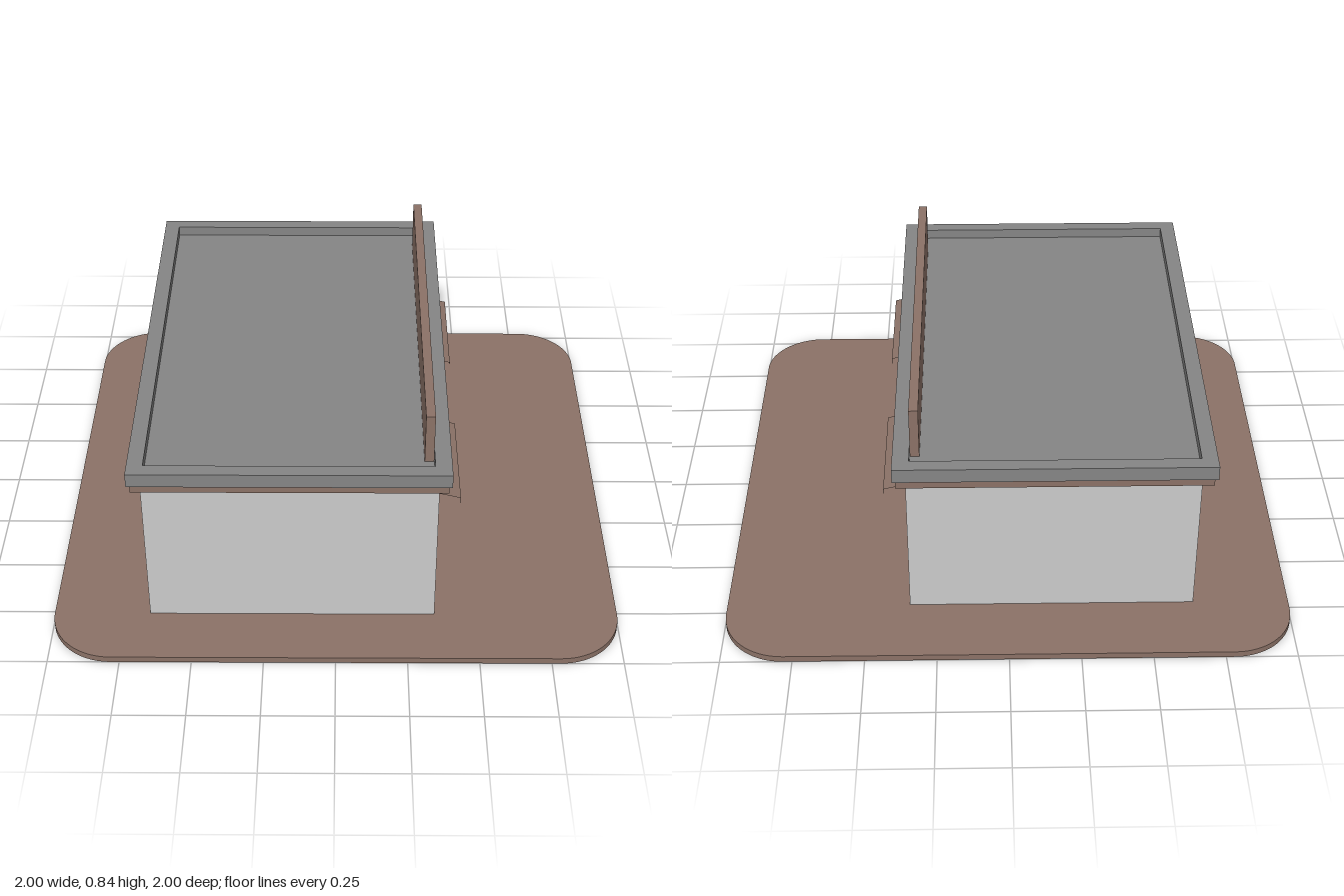
import * as THREE from 'three';

const wallMat = new THREE.MeshStandardMaterial({ color: 0xcccccc });
const roofMat = new THREE.MeshStandardMaterial({ color: 0x858585 });
const brownMat = new THREE.MeshStandardMaterial({ color: 0x8b7267 });
const awningMat = new THREE.MeshStandardMaterial({ color: 0x8b7267, side: THREE.DoubleSide });

const BASE_TOP = 0.023, WALL_TOP = 0.605, T = 0.03;
const X0 = -0.66, X1 = 0.35, Z0 = -0.74, Z1 = 0.78;
const windows = [[0.21, 0.64], [-0.61, -0.18]];

export function createModel() {
  const model = new THREE.Group();
  model.name = 'shopBuilding';

  const add = (name, geometry, material, parent = model) => {
    const mesh = new THREE.Mesh(geometry, material);
    mesh.name = name;
    parent.add(mesh);
    return mesh;
  };
  // Box given by its lower and upper limits on each axis
  const box = (name, material, x0, x1, y0, y1, z0, z1, parent) =>
    add(name, new THREE.BoxGeometry(x1 - x0, y1 - y0, z1 - z0)
      .translate((x0 + x1) / 2, (y0 + y1) / 2, (z0 + z1) / 2), material, parent);
  const rect = (path, a0, a1, b0, b1) => path.moveTo(a0, b0).lineTo(a1, b0).lineTo(a1, b1).lineTo(a0, b1).closePath();

  // Ground slab with rounded corners
  const r = 0.22, slab = new THREE.Shape();
  [[1, 1, 0], [-1, 1, 1], [-1, -1, 2], [1, -1, 3]].forEach(([sx, sz, q]) =>
    slab.absarc(sx * (1 - r), sz * (1 - r), r, q * Math.PI / 2, (q + 1) * Math.PI / 2, false));
  add('groundSlab', new THREE.ExtrudeGeometry(slab, { depth: BASE_TOP, bevelEnabled: false, curveSegments: 12 })
    .rotateX(-Math.PI / 2), brownMat);

  // Three plain walls
  const walls = new THREE.Group();
  walls.name = 'walls';
  model.add(walls);
  box('backWall', wallMat, X0, X0 + T, BASE_TOP, WALL_TOP, Z0, Z1, walls);
  box('leftEndWall', wallMat, X0 + T, X1 - T, BASE_TOP, WALL_TOP, Z1 - T, Z1, walls);
  box('rightEndWall', wallMat, X0 + T, X1 - T, BASE_TOP, WALL_TOP, Z0, Z0 + T, walls);

  // Shop front with an open doorway and two window openings (drawn in -z, y)
  const front = new THREE.Shape();
  [[-Z1, BASE_TOP], [-0.1, BASE_TOP], [-0.1, 0.39], [0.06, 0.39], [0.06, BASE_TOP],
    [-Z0, BASE_TOP], [-Z0, WALL_TOP], [-Z1, WALL_TOP]]
    .forEach(([u, v], i) => (i ? front.lineTo(u, v) : front.moveTo(u, v)));
  front.closePath();
  for (const [z0, z1] of windows) front.holes.push(rect(new THREE.Path(), -z1, -z0, 0.235, 0.455));
  add('shopFrontWall', new THREE.ExtrudeGeometry(front, { depth: T, bevelEnabled: false })
    .rotateY(Math.PI / 2).translate(X1 - T, 0, 0), wallMat, walls);

  // Window sills and thin sloping awnings with a hanging lip
  const section = [[X1, 0.465], [0.435, 0.443], [0.435, 0.42]];
  for (const [z0, z1] of windows) {
    box('windowSill', brownMat, X1 - T, X1 + 0.005, 0.234, 0.242, z0, z1);
    const awning = new THREE.Group();
    awning.name = 'awning';
    model.add(awning);
    ['awningTop', 'awningLip'].forEach((name, i) => {
      const [[xa, ya], [xb, yb]] = [section[i], section[i + 1]];
      const sheet = new THREE.PlaneGeometry(z1 - z0, Math.hypot(xb - xa, yb - ya))
        .rotateY(Math.PI / 2)
        .rotateZ(Math.atan2(xb - xa, ya - yb))
        .translate((xa + xb) / 2, (ya + yb) / 2, (z0 + z1) / 2);
      add(name, sheet, awningMat, awning);
    });
  }

  // Roof: brown trim course, deck, raised parapet and the blank sign board
  box('roofTrim', brownMat, -0.69, 0.38, 0.603, 0.64, -0.81, 0.81);
  box('roofDeck', roofMat, -0.66, 0.345, 0.635, 0.655, -0.79, 0.79);
  const parapet = rect(new THREE.Shape(), -0.7, 0.39, -0.827, 0.827);
  parapet.holes.push(rect(new THREE.Path(), -0.645, 0.333, -0.777, 0.777));
  add('parapet', new THREE.ExtrudeGeometry(parapet, { depth: 0.052, bevelEnabled: false })
    .rotateX(-Math.PI / 2).translate(0, 0.64, 0), roofMat);
  box('signBoard', brownMat, 0.3, 0.332, 0.65, 0.843, -0.703, 0.703);

  return model;
}
